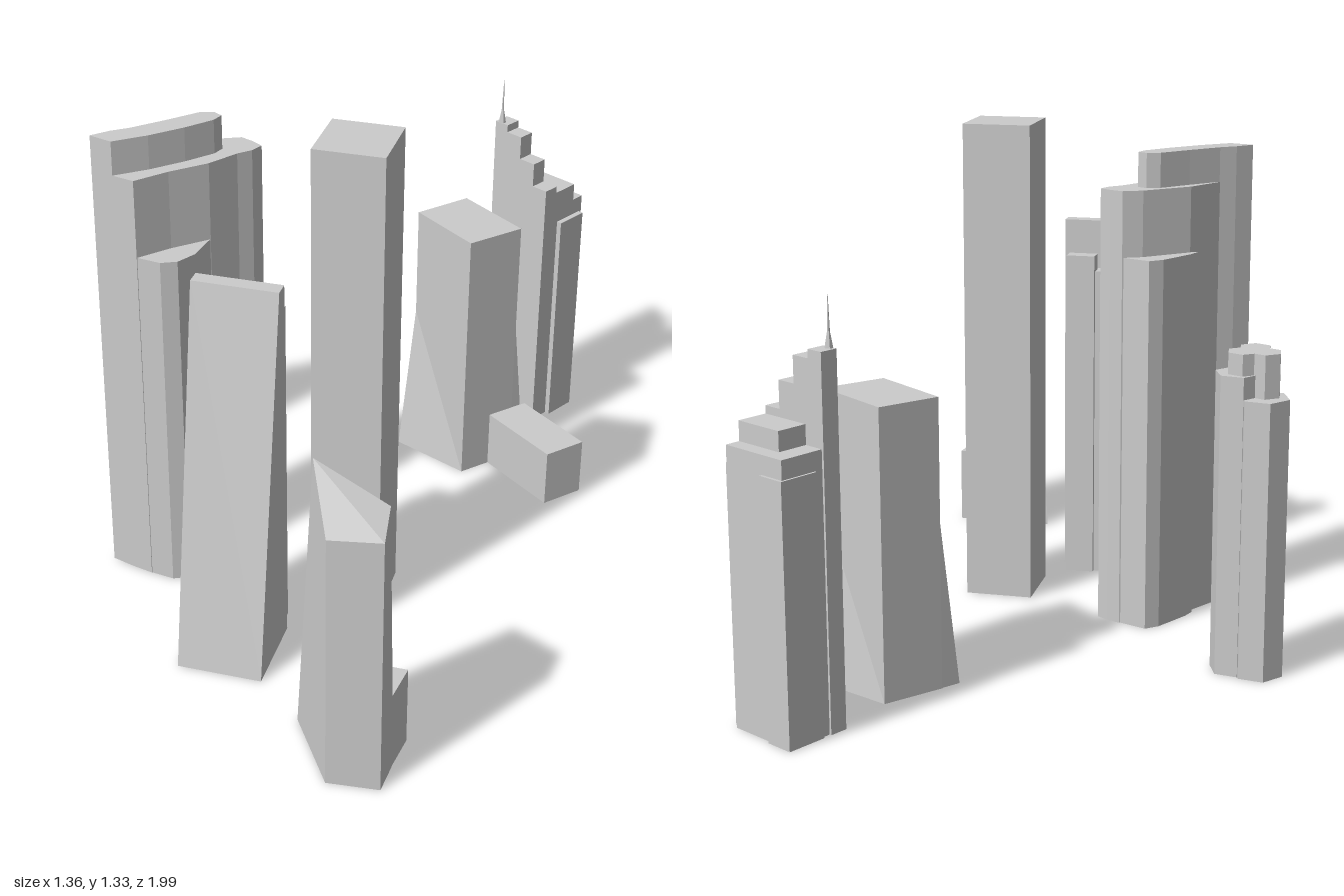
import * as THREE from 'three';
import { ConvexGeometry } from 'three/addons/geometries/ConvexGeometry.js';

const material = new THREE.MeshStandardMaterial({ color: 0xcccccc, flatShading: true });

function add(parent, name, geometry) {
  const mesh = new THREE.Mesh(geometry, material);
  mesh.name = name;
  parent.add(mesh);
  return mesh;
}

function building(parent, name) {
  const group = new THREE.Group();
  group.name = name;
  parent.add(group);
  return group;
}

// Upright prism over a plan outline of [x, z] points
function prism(parent, name, plan, height) {
  const shape = new THREE.Shape(plan.map(([x, z]) => new THREE.Vector2(x, -z)));
  const geometry = new THREE.ExtrudeGeometry(shape, { depth: height, bevelEnabled: false });
  return add(parent, name, geometry.rotateX(-Math.PI / 2));
}

// Box standing on the ground between plan limits
function block(parent, name, x0, x1, z0, z1, height) {
  const geometry = new THREE.BoxGeometry(x1 - x0, height, z1 - z0);
  return add(parent, name, geometry.translate((x0 + x1) / 2, height / 2, (z0 + z1) / 2));
}

function hull(parent, name, points) {
  return add(parent, name, new ConvexGeometry(points.map((p) => new THREE.Vector3(...p))));
}

function hexColumn(parent, name, x, z, radius, height, turn) {
  const geometry = new THREE.CylinderGeometry(radius, radius, height, 6);
  return add(parent, name, geometry.rotateY(turn).translate(x, height / 2, z));
}

export function createModel() {
  const city = new THREE.Group();
  city.name = 'skyscrapers';

  // Plain square tower
  block(city, 'squareTower', 0.08, 0.265, 0.14, 0.325, 1.33);

  // Wedge tower with a sloping front and service cores behind
  const wedge = building(city, 'wedgeTower');
  hull(wedge, 'slopingSlab', [-0.172, 0.052].flatMap((x) => [
    [x, 0, 0.683], [x, 1.027, 0.495], [x, 1.027, 0.455], [x, 0, 0.455],
  ]));
  block(wedge, 'rearCore', -0.155, 0.015, 0.405, 0.456, 0.89);
  block(wedge, 'liftShaft', -0.045, 0.035, 0.393, 0.437, 0.935);
  block(wedge, 'lowShaft', -0.155, -0.08, 0.387, 0.41, 0.55);

  // Faceted tower with a slanted roof and a small step at the back
  const faceted = building(city, 'facetedTower');
  hull(faceted, 'facetedBody', [
    [0.183, 0, 0.797], [0.42, 0, 0.797], [0.45, 0, 0.9], [0.445, 0, 0.985], [0.312, 0, 0.997],
    [0.42, 0.22, 0.797], [0.449, 0.22, 0.9],
    [0.256, 0.858, 0.908], [0.437, 0.763, 0.908], [0.444, 0.715, 0.985], [0.312, 0.706, 0.997],
  ]);
  prism(faceted, 'backStep', [[0.42, 0.797], [0.461, 0.797], [0.449, 0.9]], 0.22);

  // Tower with two flared corners and a low annex
  const flared = building(city, 'flaredTower');
  const [r0, r1, r2, r3] = [[0.254, -0.676], [0.444, -0.528], [0.328, -0.4], [0.143, -0.548]];
  prism(flared, 'shaft', [r0, r1, r2, r3], 0.756);
  [[r1, [0.476, -0.569]], [r3, [0.11, -0.505]]].forEach(([corner, foot]) => {
    hull(flared, 'cornerFlare', [
      [corner[0], 0.435, corner[1]], [foot[0], 0, foot[1]],
      [r0[0], 0, r0[1]], [r2[0], 0, r2[1]],
    ]);
  });
  prism(flared, 'annex', [[0.476, -0.562], [0.677, -0.4], [0.593, -0.307], [0.388, -0.472]], 0.166);

  // Stepped tower with a spire, turned in plan; local -z runs to its back
  const stepped = building(city, 'steppedTower');
  stepped.position.set(0.298, 0, -0.84);
  stepped.rotation.y = -0.506;
  const steps = [[0, 0.045, 0.935], [0.045, 0.097, 0.913], [0.097, 0.15, 0.845], [0.15, 0.2, 0.775]];
  steps.forEach(([x0, x1, height]) => block(stepped, 'frontStep', x0, x1, -0.048, 0, height));
  block(stepped, 'upperBody', 0.06, 0.2, -0.13, -0.048, 0.755);
  block(stepped, 'body', 0.006, 0.2, -0.17, -0.045, 0.705);
  block(stepped, 'sideBay', 0.18, 0.215, -0.16, -0.06, 0.657);
  block(stepped, 'rearBay', 0.0, 0.075, -0.178, -0.07, 0.657);
  [[0.011, 0.06], [0.005, 0.14]].forEach(([radius, height]) => {
    add(stepped, 'spire', new THREE.ConeGeometry(radius, height, 6)
      .translate(0.018, 0.933 + height / 2, -0.007));
  });

  // Clustered tower: three hexagonal lobes around a taller lobed core
  const cluster = building(city, 'clusteredTower');
  [
    [-0.613, -0.268, 0.066, 0.728], [-0.546, -0.254, 0.06, 0.785], [-0.587, -0.2, 0.053, 0.752],
  ].forEach(([x, z, radius, height]) => hexColumn(cluster, 'lobe', x, z, radius, height, 0.35));
  for (let i = 0; i < 3; i++) {
    const angle = 0.1 + (i * Math.PI * 2) / 3;
    hexColumn(cluster, 'core', -0.583 + 0.032 * Math.sin(angle), -0.238 + 0.032 * Math.cos(angle),
      0.042, 0.84, angle);
  }

  // Large tower of overlapping slabs at different heights
  const slabs = building(city, 'slabTower');
  prism(slabs, 'tallSlab', [
    [-0.498, 0.29], [-0.435, 0.31], [-0.36, 0.25], [-0.29, 0.18], [-0.235, 0.115],
    [-0.225, 0.083], [-0.25, 0.068], [-0.285, 0.08], [-0.35, 0.15], [-0.42, 0.22], [-0.46, 0.25],
  ], 1.277);
  prism(slabs, 'middleSlab', [
    [-0.435, 0.31], [-0.375, 0.325], [-0.31, 0.25], [-0.23, 0.175], [-0.18, 0.1], [-0.15, 0.07],
    [-0.135, 0.037], [-0.165, 0.017], [-0.2, 0.002], [-0.25, 0.025], [-0.36, 0.12], [-0.42, 0.215],
  ], 1.185);
  prism(slabs, 'frontSlab', [
    [-0.385, 0.322], [-0.31, 0.334], [-0.27, 0.315], [-0.242, 0.265], [-0.23, 0.165], [-0.33, 0.22],
  ], 0.972);
  prism(slabs, 'rearSlab', [
    [-0.38, 0.13], [-0.367, 0.095], [-0.31, 0.0], [-0.277, -0.027], [-0.2, 0.005], [-0.28, 0.09],
  ], 1.01);

  return city;
}
